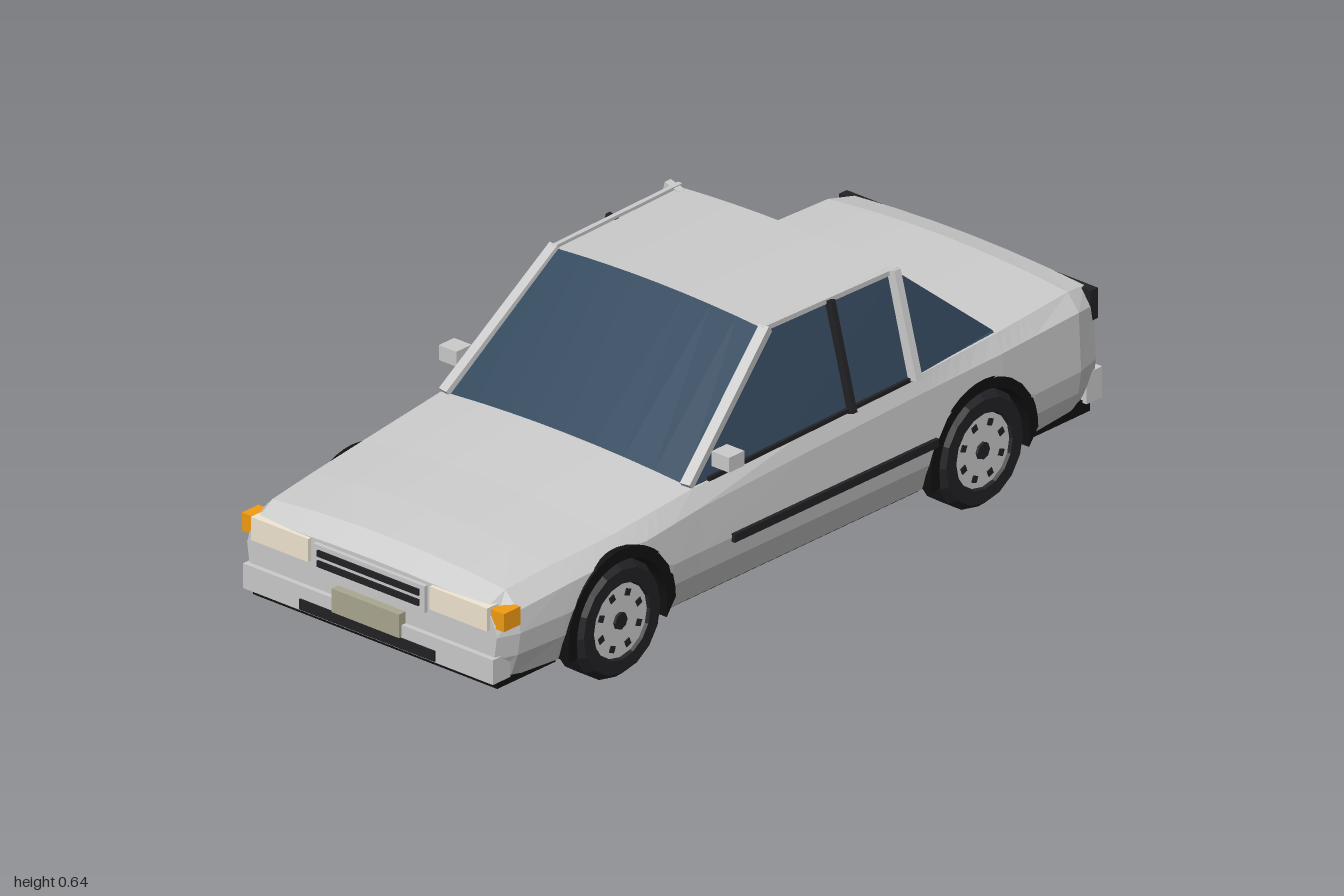
import * as THREE from 'three';

const mat = (color, extra = {}) => new THREE.MeshStandardMaterial({ color, flatShading: true, side: THREE.DoubleSide, ...extra });
const grey = mat(0xcccccc), glass = mat(0x34495e), dark = mat(0x222226), black = mat(0x111111);
const cream = mat(0xf0e6d2), amber = mat(0xf39c12), red = mat(0xcc2a1c), plateMat = mat(0xaaa890);

const WHEELS_Z = [0.6, -0.58], AXLE_Y = 0.14, ARCH_R = 0.172;

// Body stations: z, half width, shoulder height, crown, bottom, shoulder inset
const STATIONS = [
  [0.975, 0.37, 0.285, 0.01, 0.115, 0.03],
  [0.92, 0.39, 0.312, 0.018, 0.105, 0.045],
  [0.78, 0.398, 0.325, 0.022, 0.1, 0.045],
  [0.6, 0.405, 0.337, 0.022, 0.1, 0.04],
  [0.34, 0.402, 0.362, 0.022, 0.1, 0.03],
  [0, 0.402, 0.376, 0.015, 0.1, 0.02],
  [-0.4, 0.402, 0.388, 0.015, 0.1, 0.02],
  [-0.64, 0.405, 0.395, 0.02, 0.1, 0.03],
  [-0.9, 0.395, 0.4, 0.02, 0.115, 0.04],
  [-0.97, 0.375, 0.388, 0.015, 0.125, 0.035],
];

function stationAt(z) {
  let i = 0;
  while (i < STATIONS.length - 2 && z < STATIONS[i + 1][0]) i++;
  const a = STATIONS[i], b = STATIONS[i + 1], t = (z - a[0]) / (b[0] - a[0]);
  return a.map((v, k) => THREE.MathUtils.lerp(v, b[k], t));
}

// One cross-section from the right sill over the top to the left sill
function section(z) {
  const [, w, ysh, crown, yb, inset] = stationAt(z);
  let low = yb;
  for (const c of WHEELS_Z) {
    const d = Math.abs(z - c);
    if (d <= ARCH_R + 1e-6) low = AXLE_Y + Math.sqrt(Math.max(0, ARCH_R ** 2 - d * d));
  }
  const side = [[w - 0.03, yb], [w - 0.008, 0.165], [w, 0.22], [w - 0.007, ysh - 0.04], [w - inset, ysh]];
  const xAt = (y) => {
    for (let i = 0; i < 4; i++) {
      const [p, q] = [side[i], side[i + 1]];
      if (y <= q[1]) return p[0] + (q[0] - p[0]) * (y - p[1]) / (q[1] - p[1]);
    }
    return side[4][0];
  };
  const half = side.map(([x, y]) => (y < low ? [xAt(low), low] : [x, y]));
  for (const f of [0.66, 0.33]) half.push([(w - inset) * f, ysh + crown * (1 - f * f)]);
  return [...half.map(([x, y]) => [-x, y, z]), [0, ysh + crown, z], ...half.reverse().map(([x, y]) => [x, y, z])];
}

// Surface through rows of points, rows running front to back
function loft(rows, caps = false) {
  const n = rows[0].length, index = [];
  for (let s = 0; s < rows.length - 1; s++)
    for (let i = 0; i < n - 1; i++) {
      const a = s * n + i, b = a + n;
      index.push(a, a + 1, b, a + 1, b + 1, b);
    }
  if (caps) {
    const e = (rows.length - 1) * n;
    for (let i = 1; i < n - 1; i++) index.push(0, i + 1, i, e, e + i, e + i + 1);
  }
  const g = new THREE.BufferGeometry();
  g.setAttribute('position', new THREE.Float32BufferAttribute(rows.flat(2), 3));
  g.setIndex(index);
  g.computeVertexNormals();
  return g;
}

// Row across the car, drooping in y and z towards its ends
const crossRow = (w, y, z, dy, dz = 0) => Array.from({ length: 9 }, (_, i) => {
  const t = i / 4 - 1;
  return [t * w, y - dy * t * t, z - dz * t * t];
});

export function createModel() {
  const car = new THREE.Group();
  car.name = 'car';
  const add = (name, geo, m, parent = car) => {
    const mesh = new THREE.Mesh(geo, m);
    mesh.name = name;
    parent.add(mesh);
    return mesh;
  };
  // Box given by its extents
  const box = (name, m, x0, x1, y0, y1, z0, z1) =>
    add(name, new THREE.BoxGeometry(Math.abs(x1 - x0), y1 - y0, z1 - z0), m)
      .position.set((x0 + x1) / 2, (y0 + y1) / 2, (z0 + z1) / 2);
  // Square bar between two points
  const beam = (name, m, a, b, w, d) => {
    const p = new THREE.Vector3(...a), q = new THREE.Vector3(...b);
    const mesh = add(name, new THREE.BoxGeometry(w, d, p.distanceTo(q)), m);
    mesh.position.copy(p).lerp(q, 0.5);
    mesh.lookAt(q);
  };

  // Body shell with wheel arch cut-outs
  const zs = STATIONS.map((s) => s[0]);
  for (const c of WHEELS_Z) {
    for (let k = 0; k <= 12; k++) zs.push(c + ARCH_R * Math.cos(k * Math.PI / 12));
    zs.push(c + ARCH_R + 0.001, c - ARCH_R - 0.001);
  }
  add('body', loft([...new Set(zs)].sort((a, b) => b - a).map(section), true), grey);

  // Underside
  box('chassis', black, -0.27, 0.27, 0.092, 0.29, -0.95, 0.93);
  for (const [z0, z1] of [[0.775, 0.965], [-0.405, 0.425], [-0.965, -0.755]])
    box('floor', black, -0.362, 0.362, 0.092, 0.126, z0, z1);

  // Cabin
  const roofFront = crossRow(0.305, 0.637, 0.04, 0.012), roofBack = crossRow(0.318, 0.637, -0.375, 0.012);
  add('roof', loft([roofFront, roofBack]), grey);
  add('windscreen', loft([crossRow(0.35, 0.384, 0.35, 0.02, 0.01), roofFront]), glass);
  add('rearWindow', loft([roofBack, crossRow(0.362, 0.414, -0.645, 0.016)]), glass);

  // Wheel arch liner outline
  const arch = new THREE.Shape();
  arch.moveTo(ARCH_R, -0.04).absarc(0, 0, ARCH_R + 0.003, 0, Math.PI, false);
  arch.lineTo(-ARCH_R, -0.04).lineTo(-0.145, -0.04).absarc(0, 0, 0.147, Math.PI, 0, true);
  arch.lineTo(0.145, -0.04);
  const archGeo = new THREE.ExtrudeGeometry(arch, { depth: 0.132, bevelEnabled: false, curveSegments: 10 });
  archGeo.rotateY(Math.PI / 2);

  const tyreGeo = new THREE.LatheGeometry([[0.08, -0.05], [0.125, -0.05], [0.14, -0.03], [0.14, 0.03], [0.125, 0.05], [0.092, 0.05], [0.085, 0.035]]
    .map(([r, y]) => new THREE.Vector2(r, y)), 16).rotateZ(-Math.PI / 2);
  const rimGeo = new THREE.CylinderGeometry(0.09, 0.09, 0.085, 16).rotateZ(-Math.PI / 2);
  const hubGeo = new THREE.CylinderGeometry(0.02, 0.022, 0.008, 8).rotateZ(-Math.PI / 2);

  for (const s of [1, -1]) {
    // Wheels and arches
    for (const z of WHEELS_Z) {
      const wheel = new THREE.Group();
      wheel.name = 'wheel';
      wheel.position.set(s * 0.35, AXLE_Y, z);
      wheel.rotation.y = s > 0 ? 0 : Math.PI;
      add('tyre', tyreGeo, dark, wheel);
      add('rim', rimGeo, grey, wheel);
      add('hubCap', hubGeo, dark, wheel).position.x = 0.044;
      for (let k = 0; k < 8; k++) {
        const a = (k + 0.5) * Math.PI / 4;
        const hole = add('rimHole', new THREE.BoxGeometry(0.006, 0.016, 0.016), dark, wheel);
        hole.position.set(0.042, 0.066 * Math.sin(a), 0.066 * Math.cos(a));
        hole.rotation.x = -a;
      }
      car.add(wheel);
      add('wheelArch', archGeo, black).position.set(s > 0 ? 0.268 : -0.4, AXLE_Y, z);
    }

    // Side glass and pillars
    const top = [[0.358, 0.368, 0.335], [0.311, 0.625, 0.04], [0.32, 0.625, -0.375], [0.364, 0.4, -0.645]];
    const bottom = [[0.368, 0.36, 0.335], [0.38, 0.372, 0.04], [0.382, 0.384, -0.375], [0.375, 0.39, -0.645]];
    const flip = (row) => row.map(([x, y, z]) => [s * x, y, z]);
    add('sideWindow', loft([flip(top), flip(bottom)]), glass);
    beam('frontPillar', grey, [s * 0.358, 0.365, 0.345], [s * 0.311, 0.627, 0.035], 0.026, 0.02);
    beam('middlePillar', dark, [s * 0.383, 0.375, -0.16], [s * 0.317, 0.628, -0.16], 0.014, 0.034);
    beam('rearPillar', grey, [s * 0.386, 0.385, -0.362], [s * 0.32, 0.632, -0.362], 0.02, 0.042);
    beam('roofRail', grey, [s * 0.309, 0.627, 0.045], [s * 0.32, 0.627, -0.38], 0.012, 0.012);
    beam('beltTrim', dark, [s * 0.382, 0.375, 0.3], [s * 0.384, 0.388, -0.38], 0.008, 0.01);

    // Mirror and rubbing strip
    box('mirror', grey, s * 0.378, s * 0.43, 0.4, 0.436, 0.235, 0.285);
    box('sideStrip', dark, s * 0.39, s * 0.411, 0.21, 0.23, -0.42, 0.245);

    // Lamps
    box('headlamp', cream, s * 0.18, s * 0.35, 0.234, 0.29, 0.95, 0.985);
    box('indicator', amber, s * 0.35, s * 0.388, 0.24, 0.284, 0.918, 0.972);
    box('tailSurround', dark, s * 0.105, s * 0.372, 0.315, 0.388, -0.98, -0.955);
    box('tailLamp', red, s * 0.165, s * 0.367, 0.322, 0.382, -0.986, -0.965);
    box('reverseLamp', grey, s * 0.112, s * 0.16, 0.322, 0.382, -0.986, -0.965);
  }

  // Front end
  box('frontBumper', grey, -0.37, 0.37, 0.112, 0.172, 0.93, 0.988);
  box('airIntake', dark, -0.2, 0.2, 0.116, 0.141, 0.97, 0.993);
  box('frontPlate', plateMat, -0.1, 0.1, 0.143, 0.2, 0.965, 0.997);
  box('grilleFrame', grey, -0.165, 0.165, 0.22, 0.285, 0.95, 0.985);
  for (const y of [0.234, 0.259]) box('grilleSlot', dark, -0.15, 0.15, y, y + 0.015, 0.96, 0.99);

  // Rear end
  box('rearBumper', grey, -0.375, 0.375, 0.12, 0.195, -0.99, -0.94);
  box('rearPlate', plateMat, -0.1, 0.1, 0.25, 0.305, -0.982, -0.96);
  const exhaust = add('exhaust', new THREE.CylinderGeometry(0.016, 0.016, 0.07, 10, 1, true).rotateX(Math.PI / 2), grey);
  exhaust.position.set(-0.2, 0.106, -0.965);
  add('exhaustBore', new THREE.CircleGeometry(0.015, 10), black).position.set(-0.2, 0.106, -0.985);

  return car;
}
